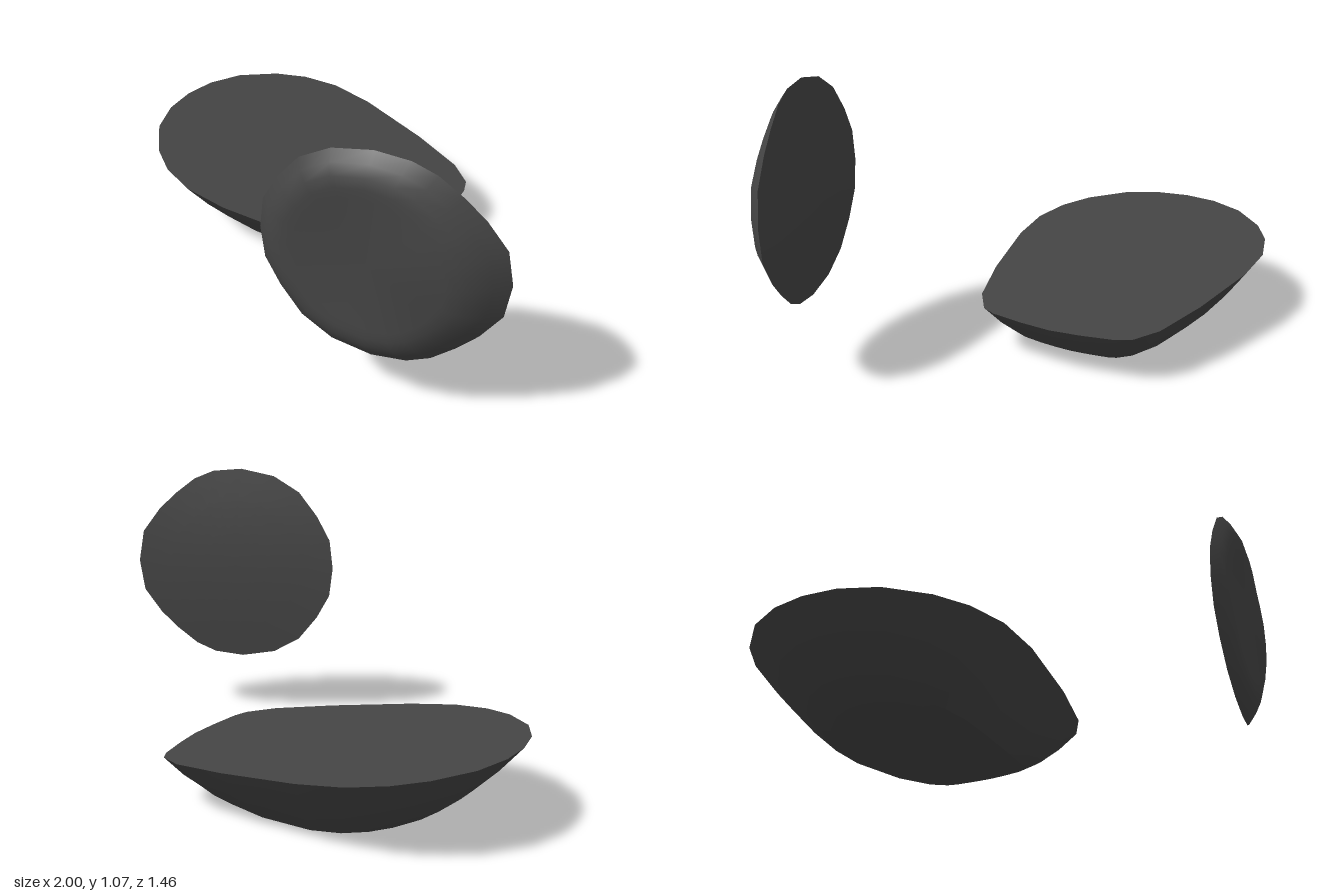
import * as THREE from 'three';
import { toCreasedNormals } from 'three/addons/utils/BufferGeometryUtils.js';

const material = new THREE.MeshStandardMaterial({ color: 0x444444 });

// Half outlines (u, v), from high u to low u; mirrored across v = 0
const SEAT = [[0.29, 0], [0.28, 0.12], [0.26, 0.25], [0.235, 0.305], [0.14, 0.37], [-0.08, 0.435],
  [-0.39, 0.495], [-0.57, 0.5], [-0.71, 0.46], [-0.82, 0.39], [-0.93, 0.265], [-0.985, 0.13], [-1, 0]];
const BACK = [[1, 0], [0.98, 0.13], [0.91, 0.23], [0.84, 0.3], [0.76, 0.365], [0.68, 0.4], [0.56, 0.412],
  [0.42, 0.385], [0.31, 0.32], [0.23, 0.22], [0.175, 0.12], [0.16, 0]];

function mirrored(half) {
  return [...half, ...half.slice(1, -1).reverse().map(([u, v]) => [u, -v])];
}

// Joins closed rings of points in order and caps both ends
function loft(rings) {
  const n = rings[0].length, pos = [], index = [];
  const centre = ring => ring.reduce((s, p) => s.add(p), new THREE.Vector3()).divideScalar(n);
  rings.flat().forEach(p => pos.push(p.x, p.y, p.z));
  const first = rings.length * n, last = first + 1, top = (rings.length - 1) * n;
  [rings[0], rings[rings.length - 1]].forEach(r => pos.push(...centre(r).toArray()));
  for (let i = 0; i < n; i++) {
    const j = (i + 1) % n;
    index.push(first, j, i, last, top + i, top + j);
    for (let a = 0; a < top; a += n) {
      index.push(a + i, a + j, a + n + j, a + i, a + n + j, a + n + i);
    }
  }
  const g = new THREE.BufferGeometry();
  g.setAttribute('position', new THREE.Float32BufferAttribute(pos, 3));
  g.setIndex(index);
  return toCreasedNormals(g, 0.6);
}

// Seat: flat sloping top, sides tapering to a gently rockered base
function seatGeometry() {
  const outline = mirrored(SEAT);
  const topY = x => 0.325 - 0.114 * (x + 1);
  const baseY = x => 0.26 * (x + 0.2) ** 2;
  const base = ([u, v], s) => {
    const x = -0.315 + (u + 0.355) * 0.66 * s;
    return new THREE.Vector3(x, baseY(x), -0.225 - v * 0.56 * s);
  };
  const rings = [0.33, 0.67, 1].map(s => outline.map(p => base(p, s)));
  for (const t of [0.33, 0.67, 1]) {
    rings.push(outline.map(p => {
      const rim = new THREE.Vector3(p[0], topY(p[0]), -0.225 - p[1]);
      const q = base(p, 1).lerp(rim, t);
      q.y -= 0.018 * Math.sin(Math.PI * t);
      return q;
    }));
  }
  return loft(rings);
}

// Backrest: slightly bowed rear, rounded edge and flat front pad
function backGeometry() {
  const outline = mirrored(BACK);
  const point = ([u, v], s, depth) => {
    const x = 0.575 + (u - 0.575) * s, y = v * s;
    return new THREE.Vector3(x, 0.66 + y, depth(x, y));
  };
  const rear = (x, y) => 0.7 - 0.255 * (x - 0.16) + 0.15 * y * y;
  const front = x => 0.69 - 0.17 * (x - 0.5);
  const rings = [0.33, 0.67, 1].map(s => outline.map(p => point(p, s, rear)));
  for (const t of [0.25, 0.5, 0.75, 1]) {
    rings.push(outline.map(p => {
      const q = point(p, 1, rear).lerp(point(p, 0.63, front), t);
      q.z += 0.023 * Math.sin(Math.PI * t);
      return q;
    }));
  }
  return loft(rings);
}

export function createModel() {
  const group = new THREE.Group();
  const parts = { seat: seatGeometry(), backrest: backGeometry() };
  for (const [name, geometry] of Object.entries(parts)) {
    const mesh = new THREE.Mesh(geometry, material);
    mesh.name = name;
    group.add(mesh);
  }
  return group;
}
